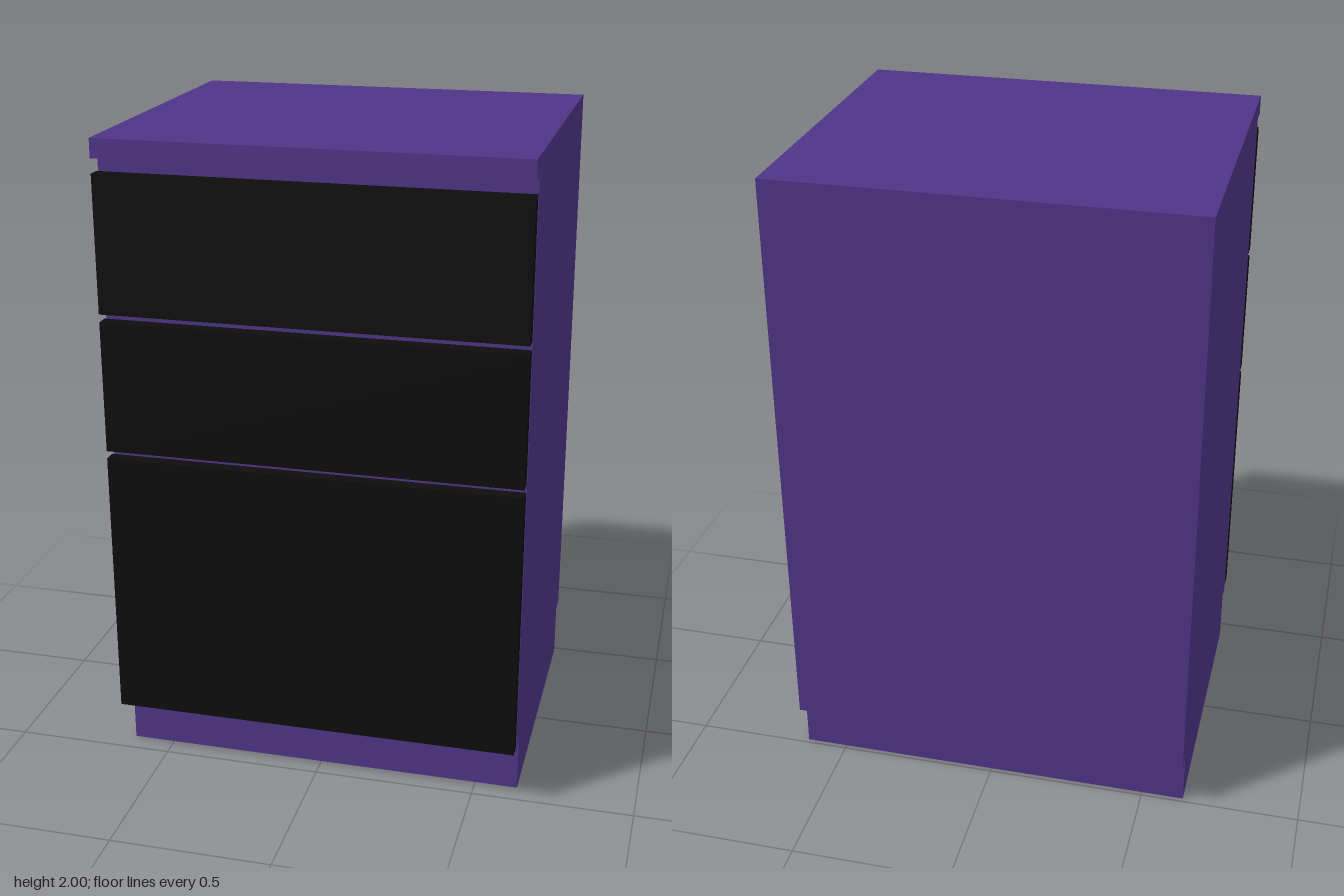
import * as THREE from 'three';

const WIDTH = 1.266;

export function createModel() {
  const group = new THREE.Group();
  const purple = new THREE.MeshStandardMaterial({ color: 0x4f3588 });
  const black = new THREE.MeshStandardMaterial({ color: 0x0d0d0d });

  // Cabinet body: side profile (z, y) with worktop overhang and recessed plinth
  const profile = new THREE.Shape([
    [-0.486, 0], [0.434, 0], [0.434, 0.169], [0.489, 0.169],
    [0.489, 1.942], [0.543, 1.942], [0.543, 2],
    [-0.543, 2], [-0.543, 0.169], [-0.486, 0.169],
  ].map(([z, y]) => new THREE.Vector2(z, y)));
  const bodyGeometry = new THREE.ExtrudeGeometry(profile, { depth: WIDTH, bevelEnabled: false });
  bodyGeometry.translate(0, 0, -WIDTH / 2);
  bodyGeometry.rotateY(-Math.PI / 2); // profile x becomes +z
  const body = new THREE.Mesh(bodyGeometry, purple);
  body.name = 'cabinetBody';
  group.add(body);

  // Drawer fronts, standing slightly clear of the body
  const drawers = [
    ['bottomDrawerFront', 0.183, 1.03],
    ['middleDrawerFront', 1.054, 1.459],
    ['topDrawerFront', 1.483, 1.898],
  ];
  for (const [name, bottom, top] of drawers) {
    const front = new THREE.Mesh(new THREE.BoxGeometry(WIDTH, top - bottom, 0.041), black);
    front.position.set(0, (bottom + top) / 2, 0.5225);
    front.name = name;
    group.add(front);
  }

  return group;
}
